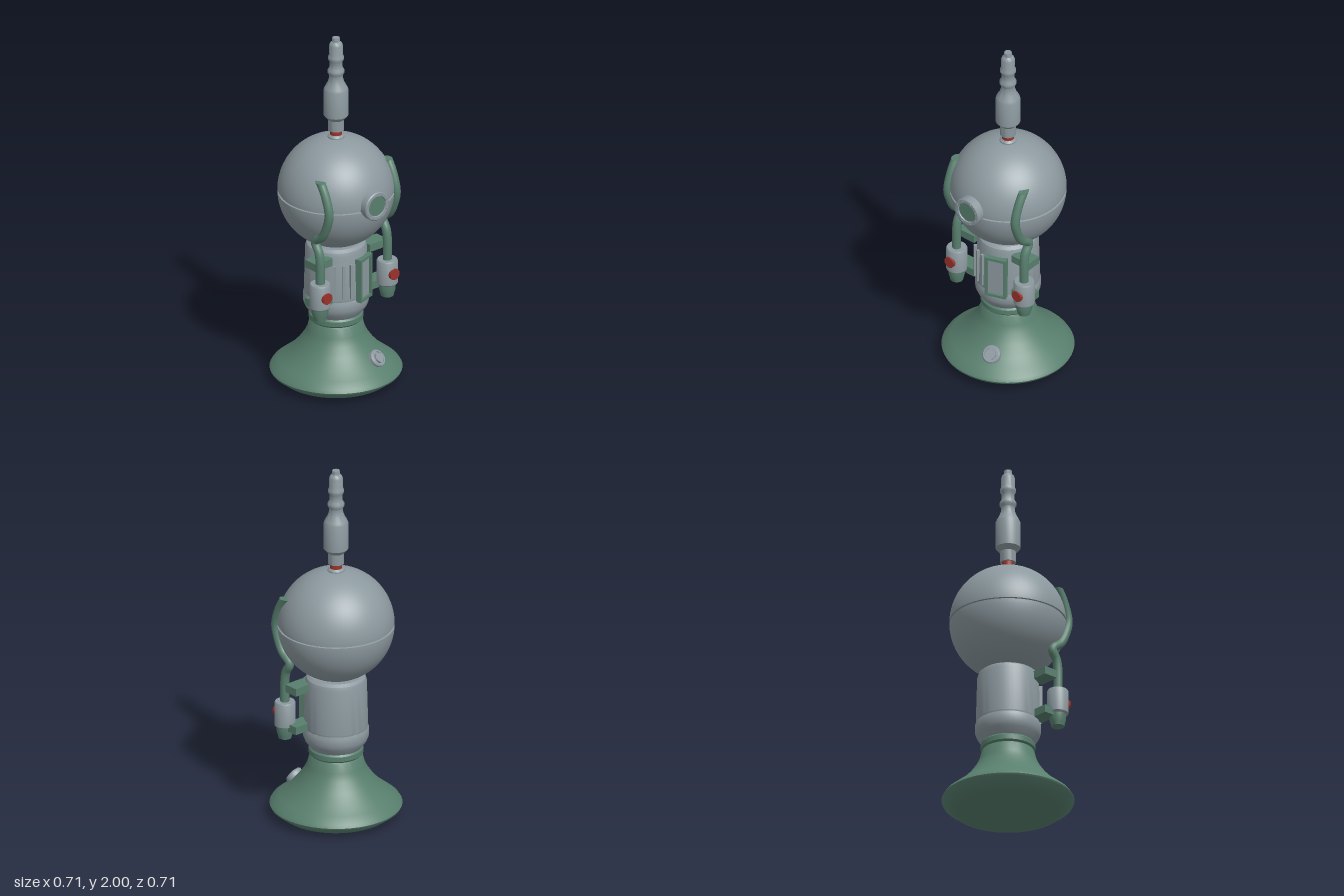
import * as THREE from 'three';
import { toCreasedNormals } from 'three/addons/utils/BufferGeometryUtils.js';

const mat = (name, color) => new THREE.MeshStandardMaterial({ name, color });

export function createModel() {
  const steel = mat('steel grey', 0x8c999f);
  const green = mat('painted green', 0x587f6e);
  const red = mat('signal red', 0x9c322b);
  const model = new THREE.Group();

  const add = (parent, name, geometry, material, x = 0, y = 0, z = 0) => {
    const mesh = new THREE.Mesh(geometry, material);
    mesh.name = name;
    mesh.position.set(x, y, z);
    parent.add(mesh);
    return mesh;
  };
  // Turned profile given as [radius, height] pairs, bottom to top
  const turned = (pairs, segments = 48) => toCreasedNormals(
    new THREE.LatheGeometry(pairs.map(([r, y]) => new THREE.Vector2(r, y)), segments), 0.6);
  const box = (w, h, d) => new THREE.BoxGeometry(w, h, d);
  const group = (name, parent = model) => {
    const g = new THREE.Group();
    g.name = name;
    parent.add(g);
    return g;
  };

  // Flared foot
  add(model, 'base', turned([
    [0, 0], [0.265, 0], [0.3, 0.012], [0.35, 0.05], [0.355, 0.062], [0.345, 0.078], [0.305, 0.11],
    [0.255, 0.15], [0.21, 0.2], [0.175, 0.25], [0.155, 0.29], [0.142, 0.34], [0.137, 0.348],
    [0.146, 0.358], [0.146, 0.385], [0.138, 0.395], [0, 0.395]], 64), green);

  // Knob set into the slope of the foot
  const knob = add(model, 'baseKnob', turned([
    [0, -0.04], [0.05, -0.04], [0.05, 0.012], [0.043, 0.02], [0.034, 0.02], [0.034, 0.012],
    [0.028, 0.012], [0.028, 0.024], [0, 0.024]], 24), steel, 0.085, 0.16, 0.235);
  knob.quaternion.setFromUnitVectors(
    new THREE.Vector3(0, 1, 0), new THREE.Vector3(0.22, 0.6, 0.72).normalize());

  // Trunk with a stepped lower band
  add(model, 'body', turned([
    [0, 0.39], [0.135, 0.39], [0.165, 0.43], [0.175, 0.455], [0.176, 0.5], [0.17, 0.512],
    [0.172, 0.52], [0.165, 0.775], [0.158, 0.797], [0.14, 0.81], [0, 0.81]]), steel);

  // Round head with a groove at the equator
  const R = 0.313, headY = 1.105, head = [];
  for (let i = 0; i <= 24; i++) {
    const a = -Math.PI / 2 + (i / 24) * (Math.PI / 2 - 0.025);
    head.push([R * Math.cos(a), R * Math.sin(a)]);
  }
  head[0][0] = 0;
  const upper = head.map(([r, y]) => [r, -y]).reverse();
  add(model, 'head', turned([...head, [R - 0.008, -0.005], [R - 0.008, 0.005], ...upper], 64),
    steel, 0, headY, 0);

  // Spire
  add(model, 'spireFoot', turned([[0.045, 1.405], [0.045, 1.422], [0.035, 1.432], [0, 1.432]], 32), steel);
  add(model, 'spireCollar', new THREE.CylinderGeometry(0.033, 0.033, 0.04, 32), red, 0, 1.442, 0);
  add(model, 'spire', turned([
    [0, 1.458], [0.043, 1.458], [0.044, 1.52], [0.066, 1.545], [0.066, 1.695], [0.06, 1.71],
    [0.046, 1.735], [0.038, 1.76], [0.037, 1.782], [0.045, 1.795], [0.045, 1.81], [0.036, 1.825],
    [0.035, 1.86], [0.043, 1.874], [0.043, 1.888], [0.036, 1.902], [0.037, 1.955], [0.032, 1.968],
    [0.022, 1.978], [0.02, 2], [0, 2]], 32), steel);

  // Porthole with a bolted rim
  const port = group('porthole');
  port.position.set(0, 1.125, 0.29);
  add(port, 'portRim', turned([
    [0.082, -0.03], [0.082, 0.048], [0.077, 0.053], [0.06, 0.053], [0.057, 0.044], [0, 0.044]], 40),
    steel).rotation.x = Math.PI / 2;
  add(port, 'portGlass', new THREE.CircleGeometry(0.056, 40), green, 0, 0, 0.047);
  for (let i = 0; i < 8; i++) {
    const a = (i + 0.5) * Math.PI / 4;
    add(port, 'portBolt', new THREE.CylinderGeometry(0.005, 0.005, 0.008, 8), steel,
      0.069 * Math.cos(a), 0.069 * Math.sin(a), 0.053).rotation.x = Math.PI / 2;
  }

  // Framed hatch on the front of the trunk
  const hatch = group('hatch');
  hatch.rotation.y = 0.33;
  hatch.position.y = 0.625;
  const outline = new THREE.Shape([[-0.06, -0.125], [0.06, -0.125], [0.06, 0.125], [-0.06, 0.125]]
    .map(([x, y]) => new THREE.Vector2(x, y)));
  outline.holes.push(new THREE.Path([[-0.045, -0.11], [-0.045, 0.11], [0.045, 0.11], [0.045, -0.11]]
    .map(([x, y]) => new THREE.Vector2(x, y))));
  add(hatch, 'hatchFrame', new THREE.ExtrudeGeometry(outline, { depth: 0.045, bevelEnabled: false }),
    green, 0, 0, 0.147);
  add(hatch, 'hatchDoor', box(0.092, 0.222, 0.03), steel, 0, 0, 0.163);

  // Vertical vent ribs beside the hatch
  for (const x of [-0.115, -0.075, -0.035]) {
    const a = Math.asin(x / 0.17);
    add(model, 'ventRib', box(0.016, 0.2, 0.03), steel, x, 0.63, 0.166 * Math.cos(a)).rotation.y = a;
  }

  // Curved side pipes, each with a canister and two brackets
  const path = new THREE.CatmullRomCurve3([
    [1.305, 0.115], [1.27, 0.147], [1.2, 0.19], [1.1, 0.219], [1.02, 0.2], [0.955, 0.165],
    [0.905, 0.107], [0.85, 0.135], [0.8, 0.145], [0.6, 0.145]]
    .map(([y, z]) => new THREE.Vector3(0, y, z)));
  const pipe = new THREE.TubeGeometry(path, 72, 0.0245, 16);
  // Cut the upper end level
  const topY = 1.27, p = pipe.attributes.position;
  for (let i = 0; i < p.count; i++) {
    const over = p.getY(i) - topY;
    if (over > 0) p.setXYZ(i, p.getX(i), topY, p.getZ(i) + over * 0.91);
  }
  pipe.computeVertexNormals();

  for (const [side, s] of [['left', 1], ['right', -1]]) {
    const arm = group(side + 'Arm');
    arm.position.x = s * 0.235;
    add(arm, 'pipe', pipe, green);
    const cap = add(arm, 'pipeEnd', new THREE.CircleGeometry(0.0245, 20), green, 0, topY, 0.147);
    cap.rotation.x = -Math.PI / 2;
    cap.scale.y = 1.35;
    add(arm, 'canister', turned([
      [0, 0.53], [0.052, 0.53], [0.057, 0.537], [0.057, 0.665], [0.052, 0.673], [0, 0.673]], 32),
      steel, 0, 0, 0.145);
    add(arm, 'nozzle', turned([
      [0, 0.46], [0.035, 0.46], [0.038, 0.475], [0.045, 0.5], [0.045, 0.535]], 24),
      green, 0, 0, 0.145);
    add(arm, 'button', new THREE.CylinderGeometry(0.032, 0.032, 0.03, 12), red, 0, 0.602, 0.195)
      .rotation.x = Math.PI / 2;
    for (const y of [0.758, 0.533]) {
      add(arm, 'bracket', box(0.12, 0.044, 0.085), green, -s * 0.045, y, 0.083);
    }
  }
  return model;
}
